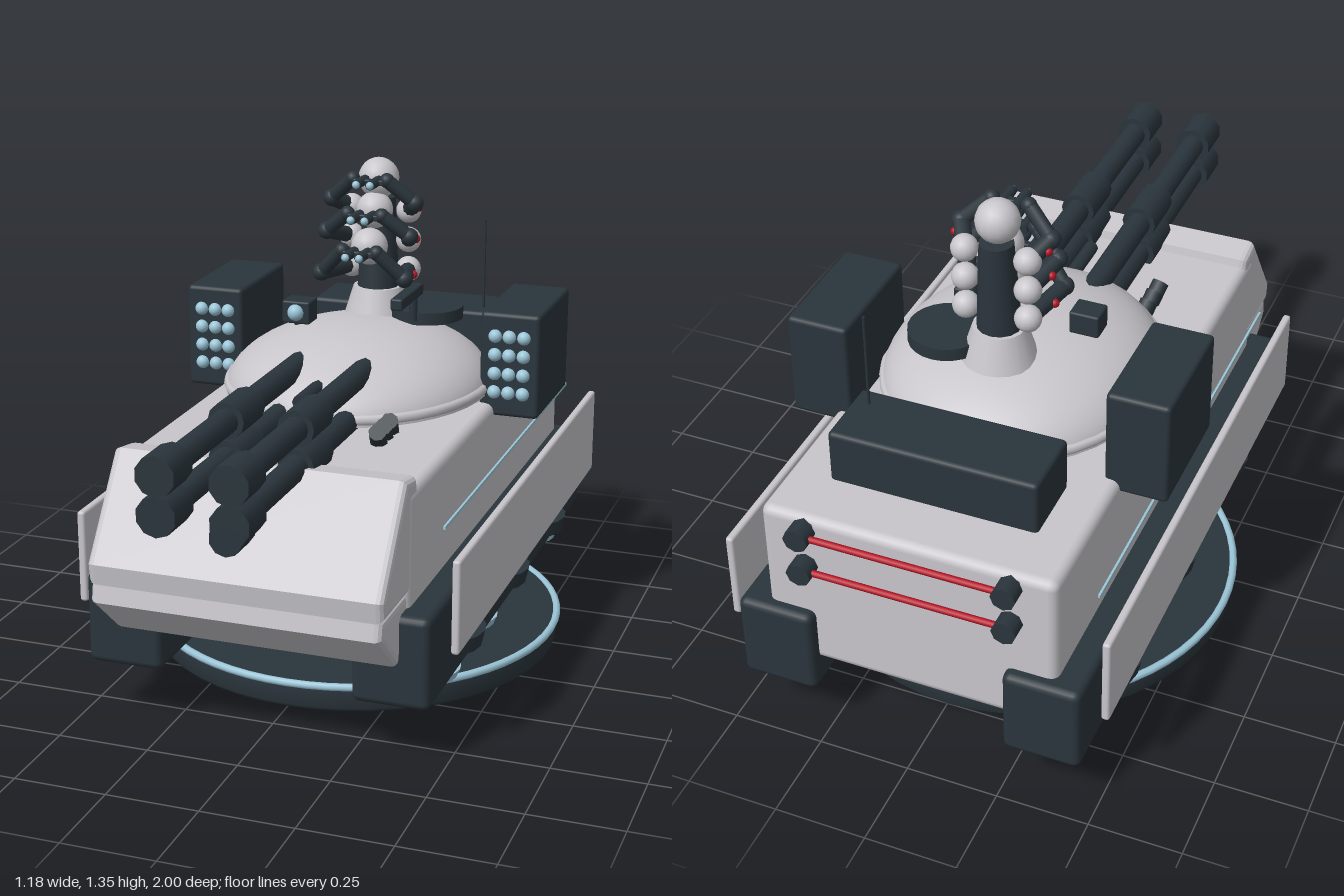
import * as THREE from 'three';
import { RoundedBoxGeometry } from 'three/addons/geometries/RoundedBoxGeometry.js';

const material = (name, color) => {
  const m = new THREE.MeshStandardMaterial({ color });
  m.name = name;
  return m;
};

export function createModel() {
  const light = material('lightGrey', 0xc8c6cb);
  const dark = material('darkSlate', 0x2a353c);
  const blue = material('paleBlue', 0x9cc6d8);
  const red = material('red', 0xb81426);
  const model = new THREE.Group();
  model.name = 'hoverTank';

  const add = (name, geometry, mat, x = 0, y = 0, z = 0, parent = model) => {
    const mesh = new THREE.Mesh(geometry, mat);
    mesh.name = name;
    mesh.position.set(x, y, z);
    parent.add(mesh);
    return mesh;
  };
  // Box given by its minimum and maximum corners
  const box = (name, mat, a, b, r = 0.012, parent = model) => add(name,
    new RoundedBoxGeometry(b[0] - a[0], b[1] - a[1], b[2] - a[2], 2, r), mat,
    (a[0] + b[0]) / 2, (a[1] + b[1]) / 2, (a[2] + b[2]) / 2, parent);
  const ball = (name, mat, r, x, y, z, parent = model) =>
    add(name, new THREE.SphereGeometry(r, 16, 12), mat, x, y, z, parent);
  // Cylinder between two points
  const rod = (name, mat, a, b, r, sides = 12, parent = model, rEnd = r) => {
    const p = new THREE.Vector3(...a), q = new THREE.Vector3(...b);
    const dir = q.clone().sub(p);
    const mesh = add(name, new THREE.CylinderGeometry(rEnd, r, dir.length(), sides), mat, 0, 0, 0, parent);
    mesh.position.copy(p).add(q).multiplyScalar(0.5);
    mesh.quaternion.setFromUnitVectors(new THREE.Vector3(0, 1, 0), dir.normalize());
    return mesh;
  };
  // Side profile of (z, y) points swept across the width
  const sweep = (name, points, width, bevel, mat) => {
    const shape = new THREE.Shape(points.map(([z, y]) => new THREE.Vector2(-z, y)));
    const geometry = new THREE.ExtrudeGeometry(shape, {
      depth: width - 2 * bevel, bevelThickness: bevel, bevelSize: bevel, bevelSegments: 3,
    });
    geometry.translate(0, 0, bevel - width / 2).rotateY(Math.PI / 2);
    return add(name, geometry, mat);
  };

  // Display disc with a pale rim
  const discProfile = [[0, 0], [0.57, 0], [0.58, 0.012], [0.585, 0.066], [0.575, 0.078], [0, 0.078]];
  add('baseDisc', new THREE.LatheGeometry(discProfile.map(([r, y]) => new THREE.Vector2(r, y)), 48), dark, 0, 0, -0.18);
  const rim = add('baseRim', new THREE.TorusGeometry(0.581, 0.011, 8, 64), blue, 0, 0.075, -0.18);
  rim.rotation.x = Math.PI / 2;

  // Hull and the two sloped nose plates
  box('hull', light, [-0.395, 0.25, -0.95], [0.395, 0.72, 0.58], 0.025);
  sweep('upperNose', [[0.46, 0.47], [0.748, 0.47], [0.752, 0.5], [0.58, 0.735], [0.52, 0.725]], 0.785, 0.02, light);
  sweep('lowerNose', [[0.5, 0.3], [0.625, 0.3], [0.75, 0.41], [0.745, 0.435], [0.5, 0.435]], 0.775, 0.02, light);

  for (const s of [-1, 1]) {
    const side = new THREE.Group();
    side.name = s > 0 ? 'leftSide' : 'rightSide';
    model.add(side);
    const sideBox = (name, mat, x0, x1, y0, y1, z0, z1, r) =>
      box(name, mat, [Math.min(s * x0, s * x1), y0, z0], [Math.max(s * x0, s * x1), y1, z1], r, side);

    // Running gear housing, skirt and trim line
    sideBox('sponson', dark, 0.26, 0.467, 0.165, 0.415, -0.985, 0.63, 0.02);
    sideBox('skirt', light, 0.5, 0.522, 0.3, 0.553, -0.925, 0.56, 0.008);
    add('trimLine', new THREE.BoxGeometry(0.006, 0.008, 1.29), blue, s * 0.452, 0.6, -0.175, side);

    // Hover pads
    for (const z of [0.25, -0.21, -0.64]) {
      add('hoverPad', new THREE.CylinderGeometry(0.12, 0.11, 0.045, 16), dark, s * 0.385, 0.215, z, side);
      add('hoverPadInner', new THREE.CylinderGeometry(0.1, 0.1, 0.05, 16), dark, s * 0.235, 0.21, z, side);
      add('innerGlow', new THREE.CylinderGeometry(0.075, 0.07, 0.02, 16), blue, s * 0.21, 0.18, z, side);
    }
    for (const z of [0.36, 0, -0.33, -0.69]) {
      add('outerGlow', new THREE.CylinderGeometry(0.08, 0.07, 0.025, 16), blue, s * 0.39, 0.157, z, side);
    }

    // Rocket launcher with a grid of warheads
    sideBox('rocketPod', dark, 0.352, 0.52, 0.685, 0.98, -0.53, -0.19, 0.012);
    for (const x of [0.395, 0.435, 0.476]) {
      for (const y of [0.755, 0.808, 0.862, 0.915]) ball('warhead', blue, 0.019, s * x, y, -0.19, side);
    }

    // Twin cannons
    for (const y of [0.85, 0.75]) {
      const x = s * 0.093;
      rod('barrel', dark, [x, y, -0.06], [x, y, 0.94], 0.034, 12, side);
      rod('barrelCollar', dark, [x, y, 0.42], [x, y, 0.565], 0.049, 12, side);
      rod('muzzle', dark, [x, y, 0.89], [x, y, 1], 0.052, 10, side);
    }

    // Smoke launchers
    for (const z of [0.16, 0.21, 0.26]) {
      rod('smokeLauncher', dark, [s * 0.2, 0.72, z - 0.03], [s * 0.212, 0.765, z + 0.02], 0.024, 8, side);
    }

    // Rear lamps
    for (const y of [0.57, 0.68]) rod('rearLamp', dark, [s * 0.275, y, -0.94], [s * 0.275, y, -0.997], 0.033, 8, side);
  }
  for (const y of [0.57, 0.68]) rod('rearLightBar', red, [-0.26, y, -0.975], [0.26, y, -0.975], 0.009, 8);

  // Turret dome and its collar
  const dome = add('turretDome', new THREE.SphereGeometry(1, 40, 16, 0, Math.PI * 2, 0, Math.PI / 2), light, 0, 0.74, -0.2);
  dome.scale.set(0.37, 0.18, 0.42);
  const collar = add('turretCollar', new THREE.TorusGeometry(0.36, 0.016, 8, 40), light, 0, 0.758, -0.2);
  collar.rotation.x = Math.PI / 2;
  collar.scale.y = 1.13;

  // Turret equipment
  box('rearStowage', dark, [-0.28, 0.71, -0.79], [0.28, 0.865, -0.59]);
  rod('antenna', dark, [0.235, 0.86, -0.645], [0.235, 1.13, -0.645], 0.004, 6);
  rod('hatch', dark, [0.145, 0.905, -0.36], [0.145, 0.94, -0.36], 0.105, 24);
  rod('hatchGunPost', dark, [0.14, 0.92, -0.25], [0.14, 1, -0.25], 0.012, 8);
  box('hatchGun', dark, [0.12, 0.985, -0.3], [0.155, 1.018, -0.1], 0.006);
  box('sensor', dark, [-0.217, 0.905, -0.225], [-0.135, 0.97, -0.155], 0.006);
  rod('sensorMount', dark, [-0.176, 0.86, -0.19], [-0.176, 0.91, -0.19], 0.016, 8);
  ball('sensorLens', blue, 0.024, -0.176, 0.938, -0.157);
  rod('coaxialGun', dark, [0, 0.825, 0.08], [0, 0.825, 0.29], 0.02, 8);
  rod('noseGunMount', dark, [0, 0.632, 0.6], [0, 0.632, 0.74], 0.025, 8);
  rod('noseGun', dark, [0, 0.632, 0.715], [0, 0.632, 0.805], 0.044, 10);

  // Gunner: pedestal, torso and head
  const gunner = new THREE.Group();
  gunner.name = 'gunner';
  model.add(gunner);
  rod('pedestal', light, [0, 0.89, -0.36], [0, 0.985, -0.36], 0.1, 20, gunner, 0.07);
  rod('torso', dark, [0, 0.97, -0.36], [0, 1.24, -0.37], 0.06, 14, gunner, 0.045);
  ball('head', light, 0.058, 0, 1.295, -0.36, gunner);

  // Three tiers of arms, each holding a pair of sights
  const tiers = [
    { shoulder: 1.205, elbow: 1.24, hand: 1.3, z: -0.28 },
    { shoulder: 1.12, elbow: 1.155, hand: 1.21, z: -0.235 },
    { shoulder: 1.035, elbow: 1.045, hand: 1.115, z: -0.19 },
  ];
  tiers.forEach(({ shoulder, elbow, hand, z }, i) => {
    if (i) ball('face', light, 0.052, 0, hand, z - 0.09, gunner);
    box('sightBar', dark, [-0.045, hand - 0.008, z], [0.045, hand + 0.008, z + 0.02], 0.004, gunner);
    for (const s of [-1, 1]) {
      const p = [s * 0.085, shoulder, -0.375], q = [s * 0.122, elbow, z - 0.03], h = [s * 0.05, hand + 0.005, z];
      ball('shoulder', light, 0.036, ...p, gunner);
      rod('upperArm', dark, p, q, 0.023, 10, gunner);
      ball('elbow', dark, 0.025, ...q, gunner);
      rod('forearm', dark, q, h, 0.02, 10, gunner);
      ball('hand', dark, 0.021, ...h, gunner);
      ball('armLight', red, 0.012, s * 0.125, (shoulder + elbow) / 2, (z - 0.4) / 2, gunner);
      rod('sightTube', dark, [s * 0.02, hand, z - 0.02], [s * 0.02, hand, z + 0.06], 0.014, 8, gunner);
      ball('sightLens', blue, 0.011, s * 0.02, hand, z + 0.06, gunner);
    }
  });

  return model;
}
